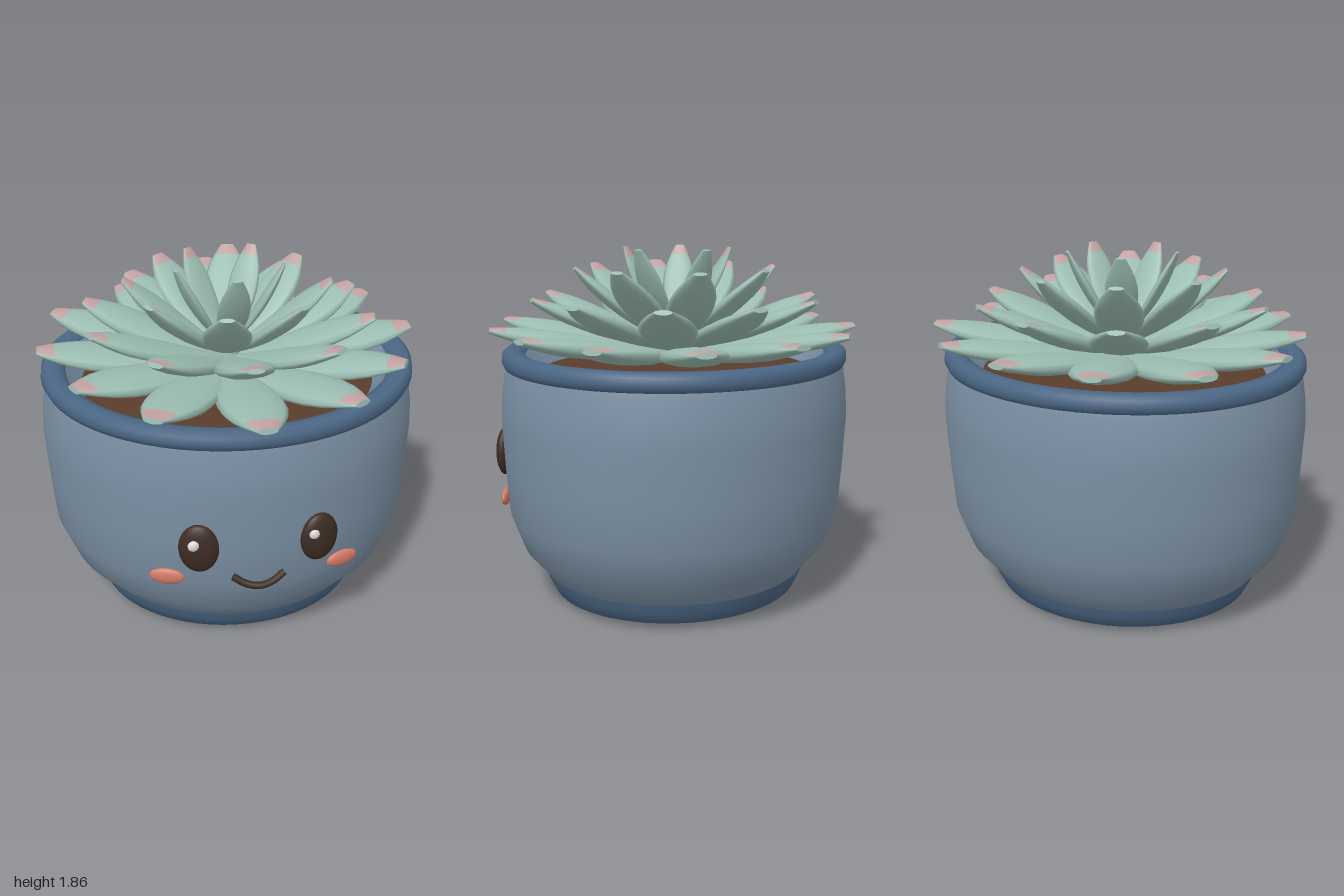
import * as THREE from 'three';

const mat = (name, color, side = THREE.FrontSide) => {
  const m = new THREE.MeshStandardMaterial({ color, side });
  m.name = name;
  return m;
};

export function createModel() {
  const glaze = mat('blue grey glaze', 0x7b90a4);
  const trim = mat('dark blue trim', 0x4b6785);
  const soilMat = mat('soil brown', 0x5a3d2b);
  const leafMat = mat('leaf green', 0x9cbdb2);
  const tipMat = mat('leaf tip pink', 0xc3a2a2);
  const dark = mat('face dark brown', 0x3d2c23);
  const blush = mat('cheek coral', 0xd17a69);
  const shine = mat('eye shine', 0xdcd7d7);

  const model = new THREE.Group();
  model.name = 'pottedSucculent';
  const add = (parent, name, geo, material) => {
    const m = new THREE.Mesh(geo, material);
    m.name = name;
    parent.add(m);
    return m;
  };

  // Oval pot, turned and then squashed front to back
  const pot = new THREE.Group();
  pot.name = 'pot';
  pot.scale.z = 0.915;
  pot.position.z = -0.045;
  model.add(pot);
  const turn = (name, pts, material) =>
    add(pot, name, new THREE.LatheGeometry(pts.map(p => new THREE.Vector2(...p)), 64), material);

  turn('potBody', [[0.77, 0.15], [0.89, 0.28], [0.965, 0.47], [0.985, 0.7], [1, 0.97],
    [0.993, 1.1], [0.975, 1.22], [0.965, 1.26]], glaze);
  turn('foot', [[0.19, 0.14], [0.19, 0.08], [0.22, 0.03], [0.3, 0.005], [0.45, 0], [0.61, 0],
    [0.72, 0.035], [0.755, 0.1], [0.772, 0.15]], trim);
  turn('rim', [[0.95, 1.24], [0.975, 1.25], [0.99, 1.28], [0.985, 1.32], [0.96, 1.34],
    [0.91, 1.34], [0.87, 1.325], [0.855, 1.29]], trim);
  turn('innerWall', [[0.86, 1.31], [0.81, 1.25], [0.76, 1.18]], glaze);
  turn('soil', [[0.79, 1.21], [0.5, 1.23], [0, 1.25]], soilMat);
  const plug = add(pot, 'drainHoleTop', new THREE.CircleGeometry(0.2, 32), glaze);
  plug.rotation.x = Math.PI / 2;
  plug.position.y = 0.13;

  // Face
  const face = new THREE.Group();
  face.name = 'face';
  model.add(face);
  const ball = (name, pos, size, turnY, material) => {
    const m = add(face, name, new THREE.SphereGeometry(1, 28, 18), material);
    m.position.set(...pos);
    m.scale.set(...size);
    m.rotation.y = turnY;
  };
  for (const s of [-1, 1]) {
    const side = s > 0 ? 'left' : 'right';
    ball(side + 'Eye', [s * 0.3, 0.733, 0.855], [0.1, 0.134, 0.045], s * 0.25, dark);
    ball(side + 'EyeShine', [s * 0.298 - 0.033, 0.775, 0.893], [0.028, 0.028, 0.02], 0, shine);
    ball(side + 'Cheek', [s * 0.45, 0.522, 0.765], [0.09, 0.045, 0.022], s * 0.33, blush);
  }
  const smile = new THREE.CatmullRomCurve3([[-0.13, 0.54, 0.853], [-0.065, 0.505, 0.875],
    [0, 0.494, 0.885], [0.065, 0.505, 0.875], [0.13, 0.54, 0.853]].map(p => new THREE.Vector3(...p)));
  add(face, 'mouth', new THREE.TubeGeometry(smile, 20, 0.019, 10), dark);
  for (const t of [0, 1]) {
    const cap = add(face, 'mouthEnd', new THREE.CircleGeometry(0.019, 10), dark);
    const p = smile.getPointAt(t);
    cap.position.copy(p);
    cap.lookAt(p.clone().addScaledVector(smile.getTangentAt(t), t ? 1 : -1));
  }

  // Leaf: flattened oval cross-sections along an upward curve, cut blunt at the tip
  const sections = [[0, 0.35], [0.15, 0.5], [0.35, 0.8], [0.5, 0.97], [0.62, 1], [0.73, 0.96],
    [0.83, 0.81], [0.91, 0.6], [1, 0.3]];
  const SIDES = 12;
  function leafGeometry(length, baseY, tipY, halfWidth) {
    const pos = [], green = [], pink = [];
    const rise = tipY - baseY;
    const ring = ([t, w]) => {
      const slope = Math.atan2(rise * (0.7 + 0.6 * t), length);
      const y = baseY + rise * (0.7 * t + 0.3 * t * t), z = 0.02 + (length - 0.02) * t;
      for (let j = 0; j < SIDES; j++) {
        const a = j / SIDES * Math.PI * 2;
        const h = Math.sin(a) * w * halfWidth * 0.3;
        pos.push(Math.cos(a) * w * halfWidth, y + h * Math.cos(slope), z - h * Math.sin(slope));
      }
    };
    sections.forEach(ring);
    const last = sections.length - 1;
    for (let i = 0; i < last; i++) {
      for (let j = 0; j < SIDES; j++) {
        const k = (j + 1) % SIDES, a = i * SIDES, b = a + SIDES;
        const blushed = i === last - 1 && j > 0 && j < SIDES / 2 - 1;
        (blushed ? pink : green).push(a + j, a + k, b + k, a + j, b + k, b + j);
      }
    }
    // Blunt end and base, with their own corners so the edge stays sharp
    const end = pos.length / 3;
    ring(sections[last]);
    ring(sections[0]);
    for (let j = 1; j < SIDES - 1; j++) {
      green.push(end, end + j, end + j + 1);
      green.push(end + SIDES, end + SIDES + j + 1, end + SIDES + j);
    }
    const g = new THREE.BufferGeometry();
    g.setAttribute('position', new THREE.Float32BufferAttribute(pos, 3));
    g.setIndex([...green, ...pink]);
    g.addGroup(0, green.length, 0);
    g.addGroup(green.length, pink.length, 1);
    g.computeVertexNormals();
    return g;
  }

  // Rosette in four tiers; lengths run from the front leaf round to the back one
  const rosette = new THREE.Group();
  rosette.name = 'rosette';
  rosette.position.z = -0.045;
  model.add(rosette);
  const tiers = [
    { name: 'outerLeaf', count: 12, start: 0, baseY: 1.29, tipY: 1.43, width: 0.165,
      lengths: [1.045, 0.99, 0.96, 1, 1.03, 0.98, 0.955] },
    { name: 'secondLeaf', count: 10, start: 0, baseY: 1.32, tipY: 1.595, width: 0.148, lengths: [0.77] },
    { name: 'thirdLeaf', count: 8, start: -10, baseY: 1.36, tipY: 1.755, width: 0.125, lengths: [0.54] },
    { name: 'innerLeaf', count: 5, start: 0, baseY: 1.4, tipY: 1.855, width: 0.085, lengths: [0.295] },
  ];
  for (const t of tiers) {
    for (let i = 0; i < t.count; i++) {
      const length = t.lengths[Math.min(i, t.count - i) % t.lengths.length];
      const leaf = add(rosette, t.name, leafGeometry(length, t.baseY, t.tipY, t.width), [leafMat, tipMat]);
      leaf.rotation.y = THREE.MathUtils.degToRad(t.start) + i / t.count * Math.PI * 2;
    }
  }
  const stem = add(rosette, 'stem', new THREE.CylinderGeometry(0.05, 0.09, 0.22, 16), leafMat);
  stem.position.y = 1.33;

  return model;
}
